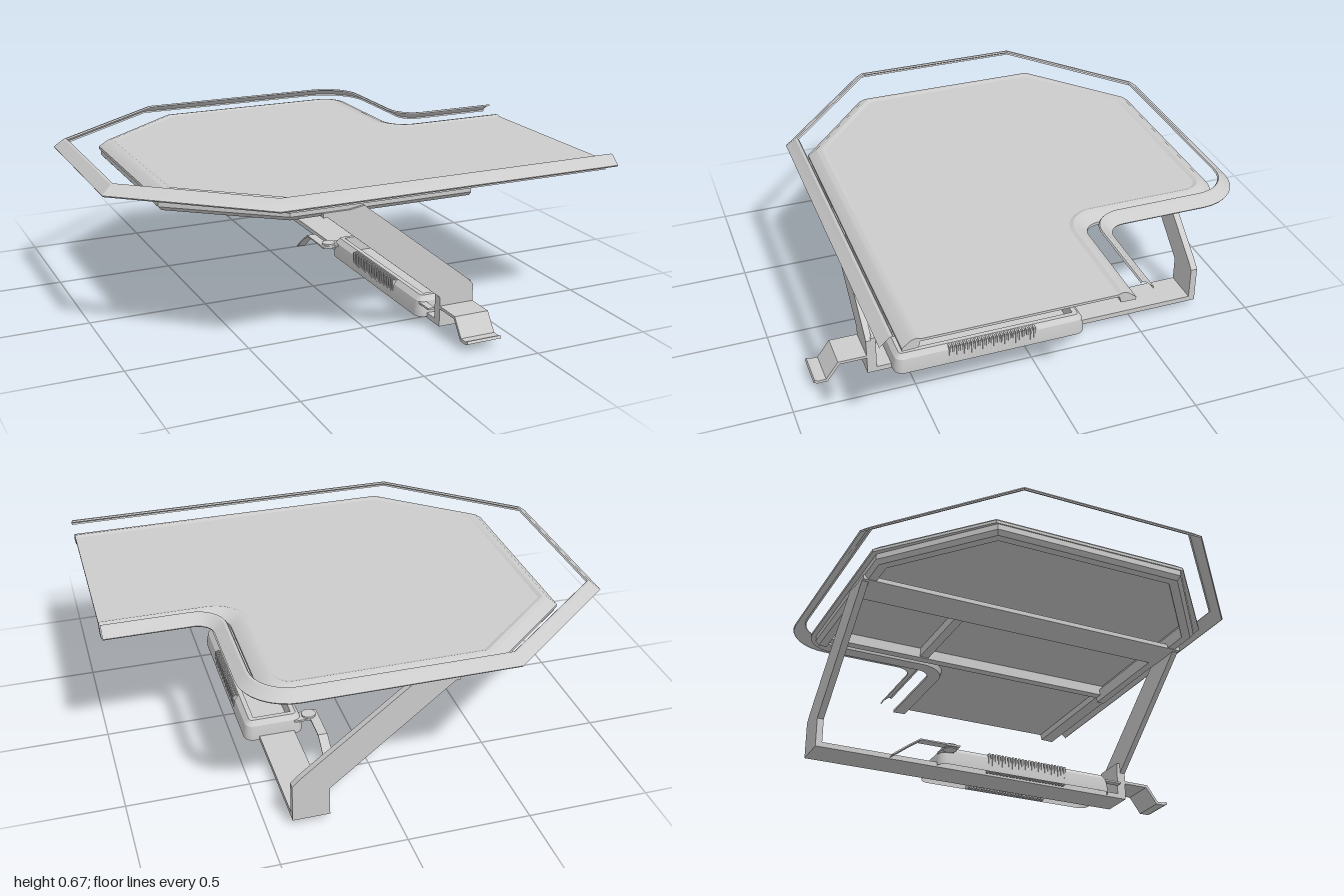
import * as THREE from 'three';
import { toCreasedNormals } from 'three/addons/utils/BufferGeometryUtils.js';

const material = new THREE.MeshStandardMaterial({ color: 0xcccccc, side: THREE.DoubleSide });

function add(parent, name, geometry, x = 0, y = 0, z = 0) {
  const mesh = new THREE.Mesh(geometry, material);
  mesh.name = name;
  mesh.position.set(x, y, z);
  parent.add(mesh);
  return mesh;
}

// Box given by its limits on each axis
function addBox(parent, name, [x0, x1], [y0, y1], [z0, z1]) {
  return add(parent, name, new THREE.BoxGeometry(x1 - x0, y1 - y0, z1 - z0),
    (x0 + x1) / 2, (y0 + y1) / 2, (z0 + z1) / 2);
}

// Polyline of [x, z, cornerRadius] with the given corners rounded
function roundPath(corners) {
  const path = [];
  corners.forEach(([x, z, r], i) => {
    const p = new THREE.Vector2(x, z);
    if (!r) return path.push(p);
    const toward = ([qx, qz]) => new THREE.Vector2(qx, qz).sub(p).setLength(r).add(p);
    const a = toward(corners[i - 1]), b = toward(corners[i + 1]);
    // Quarter arc between the two tangent points
    for (let k = 0; k <= 8; k++) {
      const t = k / 8 * Math.PI / 2;
      path.push(new THREE.Vector2(
        p.x + (a.x - p.x) * (1 - Math.sin(t)) + (b.x - p.x) * (1 - Math.cos(t)),
        p.y + (a.y - p.y) * (1 - Math.sin(t)) + (b.y - p.y) * (1 - Math.cos(t))));
    }
  });
  return path;
}

// Path moved inward by a distance, with mitred corners
function inset(path, d) {
  const normal = (a, b) => new THREE.Vector2(a.y - b.y, b.x - a.x).normalize();
  return path.map((p, i) => {
    const n0 = i > 0 ? normal(path[i - 1], p) : normal(p, path[1]);
    const n1 = i < path.length - 1 ? normal(p, path[i + 1]) : n0;
    const m = n0.clone().add(n1).normalize();
    return p.clone().addScaledVector(m, d / m.dot(n1));
  });
}

// Section of [inset, height] points carried along a path: a capped solid, or an open sheet
function sweep(path, section, solid = true) {
  const rows = section.map(([d]) => inset(path, d));
  const n = section.length, last = path.length - 1;
  const position = [], index = [];
  for (let i = 0; i <= last; i++) {
    section.forEach(([, y], j) => position.push(rows[j][i].x, y, rows[j][i].y));
  }
  for (let i = 0; i < last; i++) {
    for (let j = 0; j < (solid ? n : n - 1); j++) {
      const a = i * n + j, b = i * n + (j + 1) % n;
      index.push(a, b + n, b, a, a + n, b + n);
    }
  }
  for (let j = 1; solid && j < n - 1; j++) {
    index.push(0, j, j + 1, last * n, last * n + j + 1, last * n + j);
  }
  const geometry = new THREE.BufferGeometry();
  geometry.setAttribute('position', new THREE.Float32BufferAttribute(position, 3));
  geometry.setIndex(index);
  return toCreasedNormals(geometry, 0.5);
}

// Side profile of [x, y] points extruded along z
function extrudeZ(points, z0, z1) {
  const shape = new THREE.Shape(points.map(([x, y]) => new THREE.Vector2(x, y)));
  return new THREE.ExtrudeGeometry(shape, { depth: z1 - z0, bevelEnabled: false }).translate(0, 0, z0);
}

// Bent strip: [z, y] centre line with a thickness, spanning x0 to x1
function strip(line, thickness, x0, x1) {
  const path = line.map(([z, y]) => new THREE.Vector2(z, y));
  const shape = new THREE.Shape([...inset(path, thickness / 2), ...inset(path, -thickness / 2).reverse()]);
  return new THREE.ExtrudeGeometry(shape, { depth: x1 - x0, bevelEnabled: false })
    .rotateY(-Math.PI / 2).translate(x1, 0, 0);
}

export function createModel() {
  const model = new THREE.Group();
  model.name = 'foldingTray';

  // Tray top: a bevelled rim with the panel nearly flush inside it
  const top = new THREE.Group();
  top.name = 'trayTop';
  model.add(top);
  const edge = roundPath([[1, 0.683], [-0.4, 0.683], [-0.8, 0.35], [-0.8, -0.47], [-0.4, -0.815],
    [0.5, -0.815, 0.13], [0.5, -0.2, 0.07], [1, -0.2]]);
  add(top, 'trayRim', sweep(edge, [[0, 0.598], [0.06, 0.6], [0.07, 0.636], [0.055, 0.642], [0.035, 0.638], [0, 0.61]]));
  add(top, 'trayPanel', new THREE.ExtrudeGeometry(new THREE.Shape(inset(edge, 0.06)),
    { depth: 0.01, bevelEnabled: false }).rotateX(Math.PI / 2).translate(0, 0.636, 0));

  // Separate thin sloping trim running around the tray
  const trim = roundPath([[1, 0.762], [-0.47, 0.762], [-1, 0.31], [-1, -0.45], [-0.47, -0.892],
    [0.58, -0.892, 0.2], [0.58, -0.27, 0.07], [1, -0.27]]);
  add(model, 'outerTrim', sweep(trim, [[0.055, 0.666], [0.05, 0.672], [0.04, 0.67], [0, 0.636], [0.004, 0.63]], false));

  // Frame under the tray
  const frame = new THREE.Group();
  frame.name = 'underFrame';
  model.add(frame);
  const skirt = roundPath([[0.38, 0.66], [-0.39, 0.66], [-0.795, 0.34], [-0.795, -0.46], [-0.39, -0.795], [0.38, -0.795]]);
  add(frame, 'frameSkirt', sweep(skirt, [[0, 0.605], [0, 0.575], [0.015, 0.558], [0.05, 0.558], [0.06, 0.605]]));
  addBox(frame, 'frameEndBar', [0.34, 0.38], [0.58, 0.626], [-0.77, 0.62]);
  addBox(frame, 'frameMiddleBar', [-0.26, -0.1], [0.556, 0.575], [-0.8, 0.67]);
  addBox(frame, 'frameRail', [-0.1, 0.34], [0.585, 0.626], [-0.32, -0.28]);

  // Slanted support arms joined by a floor plate
  const arm = [[0.25, 0.03], [0.4, 0.03], [0.4, 0.19], [0.37, 0.22], [-0.09, 0.585], [-0.245, 0.558], [0.25, 0.155]];
  add(model, 'frontArm', extrudeZ(arm, 0.645, 0.67));
  add(model, 'backArm', extrudeZ(arm, -0.8, -0.772));
  addBox(model, 'frontArmFoot', [0.25, 0.4], [0.03, 0.2], [0.63, 0.65]);
  addBox(model, 'floorPlate', [0.25, 0.4], [0.03, 0.052], [-0.8, 0.67]);

  // Hollow housing shell around the floor plate, with grip ribs down both sides
  const base = new THREE.Group();
  base.name = 'base';
  model.add(base);
  const footprint = roundPath([[0.335, 0.57], [0.21, 0.57, 0.04], [0.21, -0.26, 0.04],
    [0.46, -0.26, 0.04], [0.46, 0.57, 0.04], [0.335, 0.57]]);
  add(base, 'housingShell', sweep(footprint,
    [[0.045, 0.05], [0.045, 0.12], [0.025, 0.12], [0.007, 0.1], [0, 0.06], [0, 0.035]], false));
  for (let i = 0; i < 24; i++) {
    const z = -0.03 + i * 0.016;
    for (const x of [0.225, 0.445]) {
      addBox(base, 'gripRib', [x - 0.015, x + 0.015], [0.035, 0.118], [z - 0.004, z + 0.004]);
    }
  }

  // Front foot tab
  add(model, 'frontTab', strip([[0.65, 0.112], [0.785, 0.112], [0.838, 0.04], [0.875, 0.04], [0.89, 0.047]], 0.012, 0.25, 0.4));

  // Release lever and its pivot
  const lever = new THREE.Group();
  lever.name = 'releaseLever';
  model.add(lever);
  add(lever, 'leverStrip', strip([[-0.22, 0.095], [-0.38, 0.095], [-0.43, 0.06], [-0.5, 0.006]], 0.006, 0.14, 0.18));
  addBox(lever, 'leverLink', [0.14, 0.25], [0.09, 0.098], [-0.26, -0.2]);
  add(lever, 'leverPivot', new THREE.CylinderGeometry(0.03, 0.03, 0.02, 20), 0.18, 0.096, -0.23);
  addBox(lever, 'leverRod', [0.22, 0.25], [0.09, 0.098], [0.55, 0.63]);

  return model;
}
